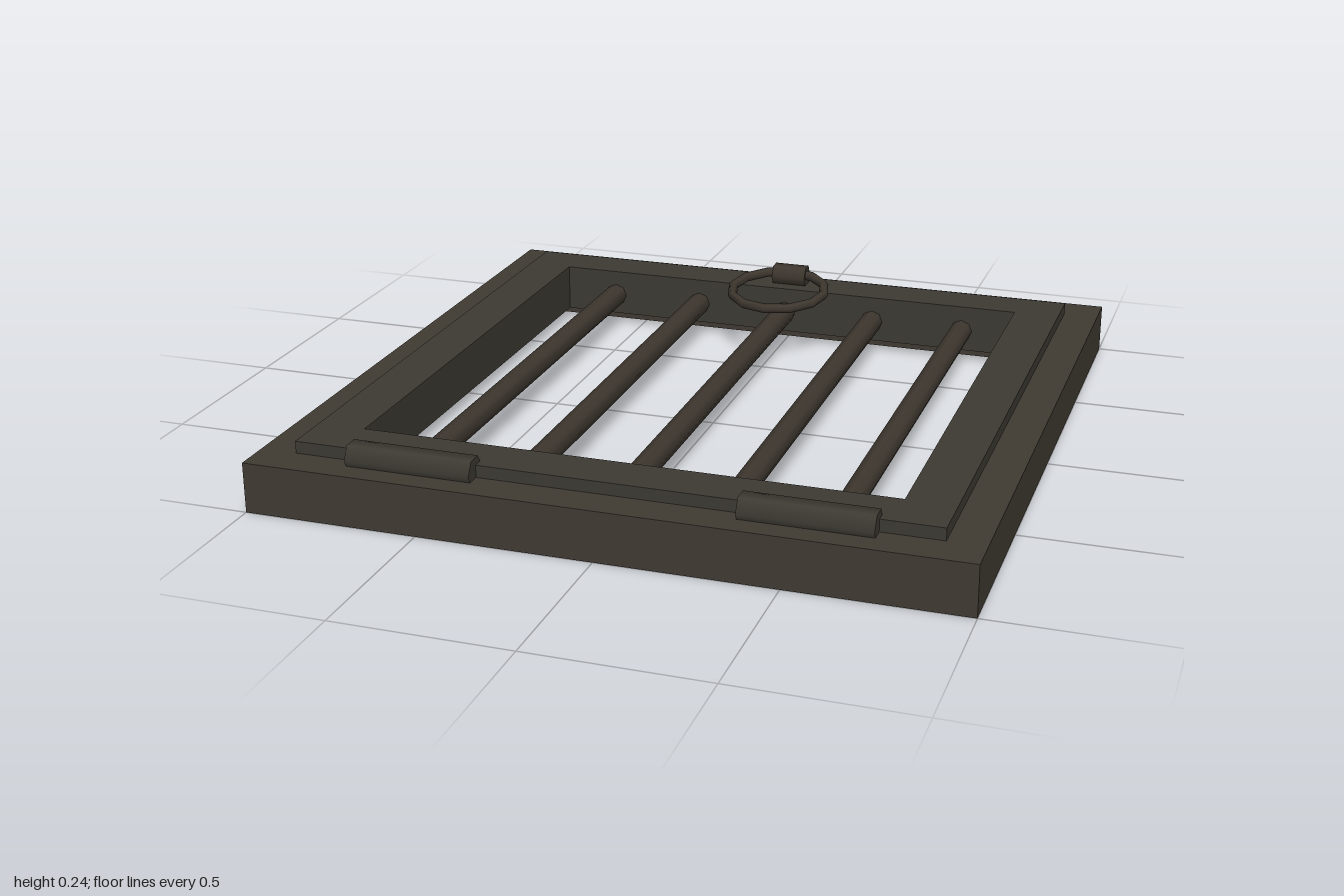
import * as THREE from 'three';

const material = (name, color) => {
  const m = new THREE.MeshStandardMaterial({ color });
  m.name = name;
  return m;
};

// Square frame lying flat, with a square opening
function squareFrame(outer, inner, bottom, top) {
  const square = (C, r) => new C([[-r, -r], [r, -r], [r, r], [-r, r]].map(([x, y]) => new THREE.Vector2(x, y)));
  const shape = square(THREE.Shape, outer);
  shape.holes.push(square(THREE.Path, inner));
  const geo = new THREE.ExtrudeGeometry(shape, { depth: top - bottom, bevelEnabled: false });
  return geo.rotateX(-Math.PI / 2).translate(0, bottom, 0);
}

// Hexagonal barrel lying along x, with a flat side on top
function barrel(radius, length) {
  return new THREE.CylinderGeometry(radius, radius, length, 6).rotateZ(Math.PI / 2);
}

export function createModel() {
  const group = new THREE.Group();
  const stone = material('dark surround', 0x403a32);
  const iron = material('dark iron', 0x3d3a33);
  const barIron = material('bar iron', 0x3e372f);

  const add = (name, geometry, mat, x = 0, y = 0, z = 0) => {
    const mesh = new THREE.Mesh(geometry, mat);
    mesh.name = name;
    mesh.position.set(x, y, z);
    group.add(mesh);
    return mesh;
  };

  // Fixed surround and the hatch frame set into it
  add('surround', squareFrame(1, 0.81, 0, 0.145), stone);
  add('hatchFrame', squareFrame(0.895, 0.757, 0.035, 0.18), iron);

  // Grate bars running front to back
  for (let i = -2; i <= 2; i++) {
    const bar = new THREE.CylinderGeometry(0.035, 0.035, 1.56, 8).rotateX(Math.PI / 2);
    add('bar', bar, barIron, i * 0.294, 0.1, 0);
  }

  // Hinge barrels along the front edge
  for (const side of [-1, 1]) {
    add('hinge', barrel(0.044, 0.36), iron, side * 0.545, 0.163, 0.9);
  }

  // Pull ring, tilted up to the knuckle that holds it
  const ring = add('pullRing', new THREE.TorusGeometry(0.152, 0.015, 6, 12), barIron, 0, 0.201, -0.68);
  ring.rotation.x = Math.PI / 2 + 0.09;
  add('ringKnuckle', barrel(0.036, 0.11), barIron, 0, 0.207, -0.826);

  return group;
}
